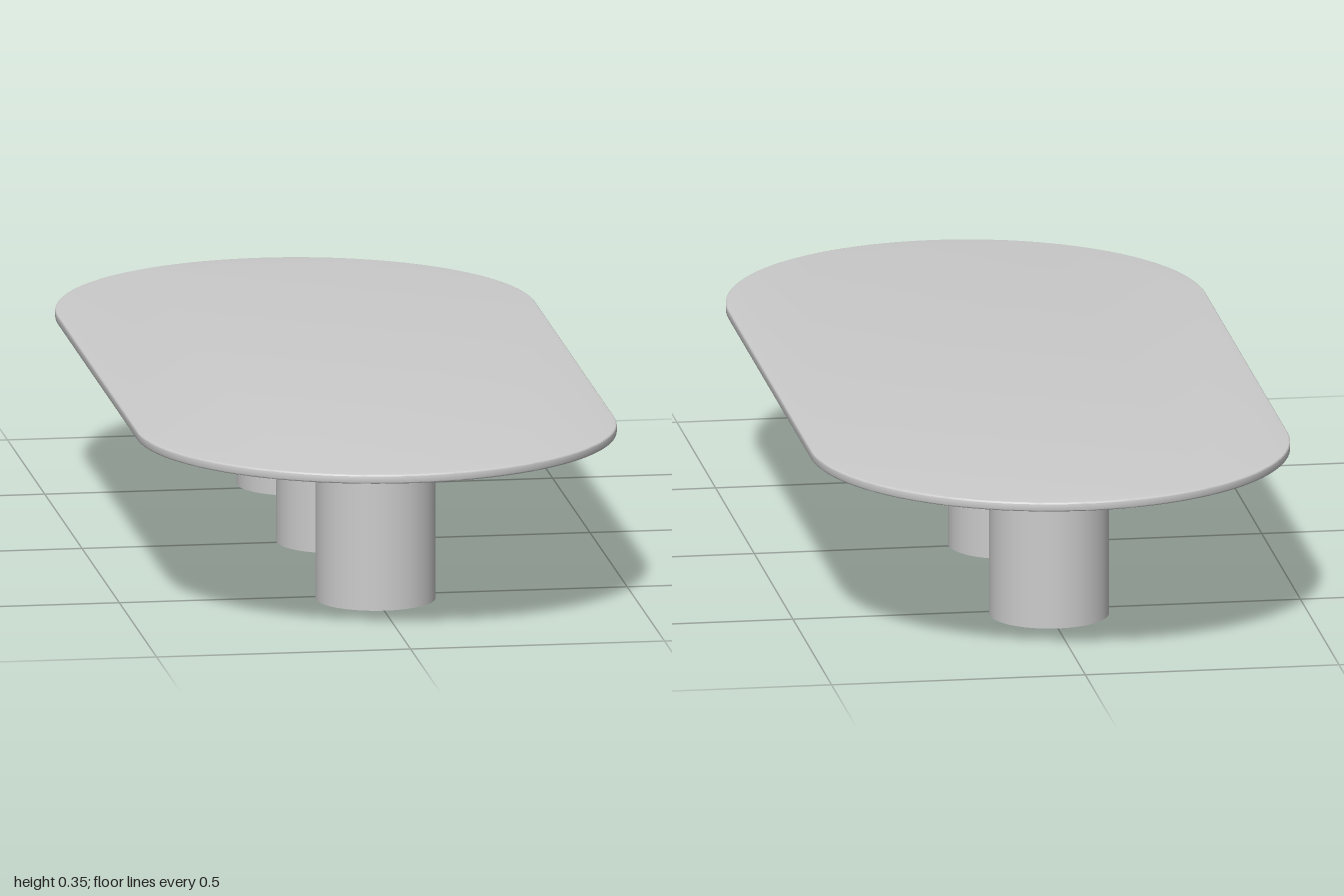
import * as THREE from 'three';
import { toCreasedNormals } from 'three/addons/utils/BufferGeometryUtils.js';

const HALF_WIDTH = 0.47, HALF_LENGTH = 1;
const TOP_Y = 0.348, UNDERSIDE_Y = 0.33, BEVEL = 0.003;
const LEG_RADIUS = 0.117, LEG_SPACING = 0.53;

export function createModel() {
  const group = new THREE.Group();
  group.name = 'table';
  const material = new THREE.MeshStandardMaterial({ color: 0xcccccc });

  // Tabletop: a stadium outline with a slightly softened rim
  const radius = HALF_WIDTH - BEVEL;
  const straight = HALF_LENGTH - HALF_WIDTH;
  const outline = new THREE.Shape();
  outline.absarc(0, straight, radius, 0, Math.PI, false);
  outline.absarc(0, -straight, radius, Math.PI, Math.PI * 2, false);
  outline.closePath();
  const slab = new THREE.ExtrudeGeometry(outline, {
    depth: TOP_Y - UNDERSIDE_Y - 2 * BEVEL,
    bevelThickness: BEVEL,
    bevelSize: BEVEL,
    bevelSegments: 3,
    curveSegments: 48,
  });
  slab.rotateX(-Math.PI / 2);
  slab.translate(0, UNDERSIDE_Y + BEVEL, 0);
  const tabletop = new THREE.Mesh(toCreasedNormals(slab, 0.6), material);
  tabletop.name = 'tabletop';
  group.add(tabletop);

  // Three round column legs along the centre line
  const column = new THREE.CylinderGeometry(LEG_RADIUS, LEG_RADIUS, UNDERSIDE_Y, 64);
  [['frontLeg', 1], ['middleLeg', 0], ['backLeg', -1]].forEach(([name, side]) => {
    const leg = new THREE.Mesh(column, material);
    leg.name = name;
    leg.position.set(0, UNDERSIDE_Y / 2, side * LEG_SPACING);
    group.add(leg);
  });

  return group;
}
